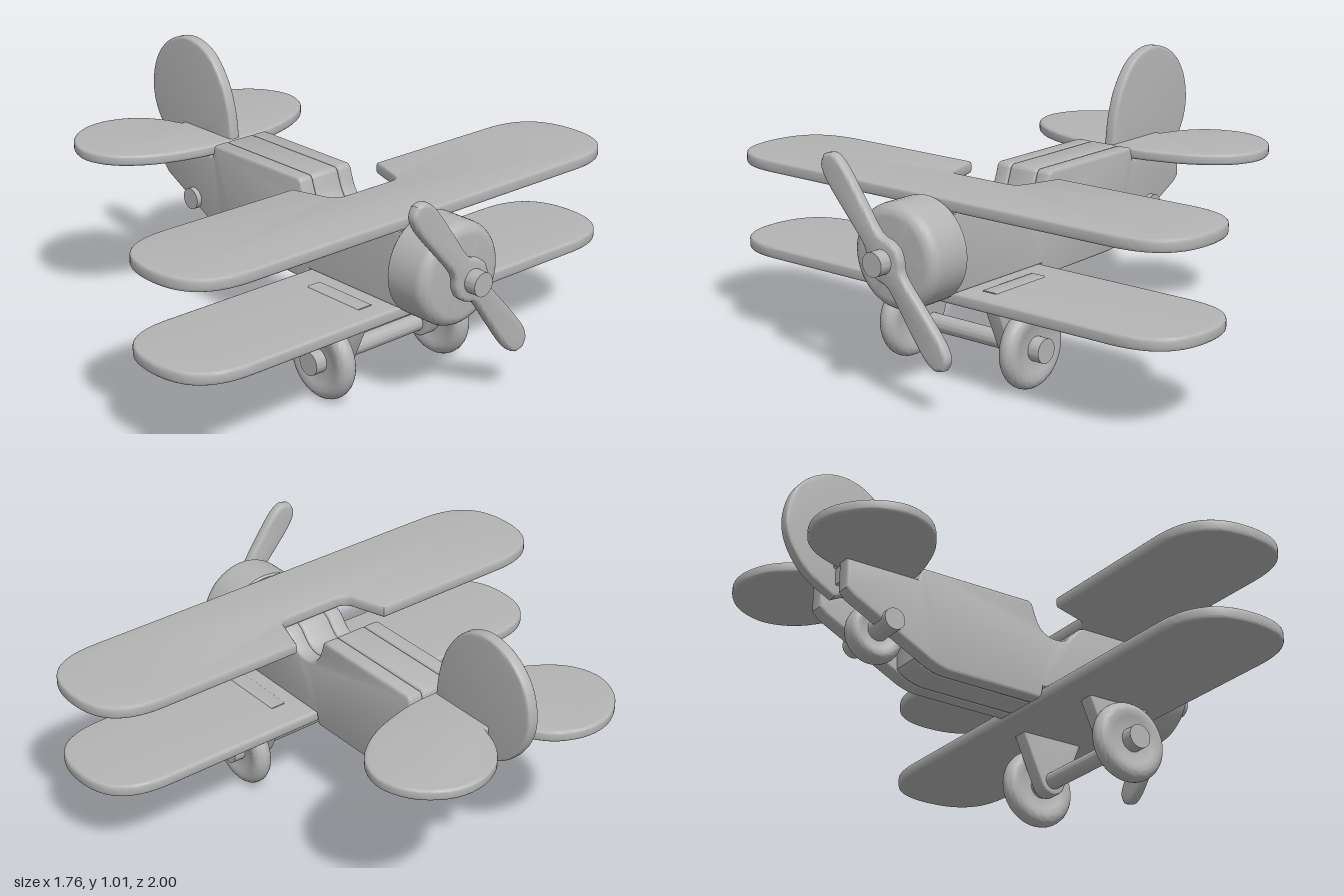
import * as THREE from 'three';
import { toCreasedNormals } from 'three/addons/utils/BufferGeometryUtils.js';

const wood = new THREE.MeshStandardMaterial({ color: 0xb4b4b4 });
wood.name = 'plain wood grey';

function add(parent, name, geometry) {
  const mesh = new THREE.Mesh(toCreasedNormals(geometry, 0.6), wood);
  mesh.name = name;
  parent.add(mesh);
  return mesh;
}

// Board of a given thickness, centred on its plane, with softened edges
function board(shape, thickness, bevel = 0.01) {
  const geometry = new THREE.ExtrudeGeometry(shape, {
    depth: thickness - 2 * bevel, bevelEnabled: true, bevelThickness: bevel,
    bevelSize: bevel, bevelOffset: -bevel, bevelSegments: 3, curveSegments: 20,
  });
  return geometry.translate(0, 0, bevel - thickness / 2);
}

// Horizontal board: the shape's y becomes z
const flatBoard = (shape, thickness, y) => board(shape, thickness).rotateX(Math.PI / 2).translate(0, y, 0);

function smoothPoints(points, count = 40) {
  return new THREE.SplineCurve(points.map(([x, y]) => new THREE.Vector2(x, y))).getPoints(count);
}

// Round rod along z
function rod(r, length, x, y, z) {
  return new THREE.CylinderGeometry(r, r, length, 32).rotateX(Math.PI / 2).translate(x, y, z);
}

function lathe(points) {
  return new THREE.LatheGeometry(points.map(([r, y]) => new THREE.Vector2(r, y)), 48);
}

// Side profile; the centre layer is cut away at the tail for the wheel
function fuselageShape(slotted) {
  const s = new THREE.Shape();
  if (slotted) {
    s.moveTo(-0.66, 0.635);
    s.lineTo(-0.66, 0.575);
    s.lineTo(-0.36, 0.575);
    s.lineTo(-0.36, 0.362);
  } else {
    s.moveTo(-0.67, 0.635);
    s.lineTo(-0.67, 0.525);
    s.lineTo(-0.645, 0.5);
  }
  s.lineTo(-0.34, 0.345);
  s.quadraticCurveTo(-0.29, 0.318, -0.24, 0.317);
  s.lineTo(0.125, 0.312);
  s.quadraticCurveTo(0.14, 0.315, 0.145, 0.358);
  s.lineTo(0.6, 0.358);
  s.lineTo(0.6, 0.637);
  s.lineTo(0.33, 0.637);
  s.bezierCurveTo(0.28, 0.625, 0.28, 0.56, 0.21, 0.56);
  s.bezierCurveTo(0.13, 0.56, 0.12, 0.62, 0.105, 0.66);
  s.quadraticCurveTo(0.1, 0.684, 0.08, 0.684);
  s.lineTo(-0.36, 0.684);
  s.quadraticCurveTo(-0.375, 0.684, -0.378, 0.66);
  s.lineTo(-0.385, 0.635);
  s.closePath();
  return s;
}

// Rounded-end wing, optionally notched behind the cockpit
function wingShape(notched) {
  const s = new THREE.Shape();
  s.moveTo(0.6, 0.76);
  s.bezierCurveTo(0.6, 0.93, 0.52, 1, 0.375, 1);
  s.bezierCurveTo(0.23, 1, 0.15, 0.93, 0.15, 0.76);
  if (notched) {
    s.lineTo(0.15, 0.2);
    s.lineTo(0.28, 0.158);
    s.quadraticCurveTo(0.315, 0.145, 0.315, 0.11);
    s.lineTo(0.315, -0.11);
    s.quadraticCurveTo(0.315, -0.145, 0.28, -0.158);
    s.lineTo(0.15, -0.2);
  }
  s.lineTo(0.15, -0.76);
  s.bezierCurveTo(0.15, -0.93, 0.23, -1, 0.375, -1);
  s.bezierCurveTo(0.52, -1, 0.6, -0.93, 0.6, -0.76);
  s.closePath();
  return s;
}

// Two-lobed tailplane
function tailplaneShape() {
  const half = smoothPoints([[-0.39, 0.06], [-0.40, 0.17], [-0.45, 0.33], [-0.54, 0.45], [-0.66, 0.495],
    [-0.78, 0.455], [-0.86, 0.36], [-0.88, 0.25], [-0.84, 0.14], [-0.76, 0.07], [-0.67, 0.035]]);
  const other = half.map((p) => new THREE.Vector2(p.x, -p.y)).reverse();
  return new THREE.Shape([...half, ...other]);
}

function propellerShape() {
  const side = smoothPoints([[0.078, 0], [0.068, 0.035], [0.046, 0.07], [0.041, 0.11], [0.046, 0.2], [0.051, 0.3],
    [0.049, 0.36], [0.034, 0.4], [0, 0.418]], 30);
  const left = side.slice(0, -1).map((p) => new THREE.Vector2(-p.x, p.y)).reverse();
  const upper = [...side, ...left];
  const lower = upper.slice(1, -1).map((p) => new THREE.Vector2(-p.x, -p.y));
  return new THREE.Shape([...upper, ...lower]);
}

// Wheel with a fat tyre and dished faces, lying along z
function wheelGeometry(radius, width) {
  const h = width / 2, r = radius;
  const rim = [[0.2 * r, -0.72 * h], [0.5 * r, -0.72 * h], [0.6 * r, -0.9 * h]];
  for (let i = 0; i <= 12; i++) {
    const a = -Math.PI / 2 + (Math.PI * i) / 12;
    rim.push([r * (0.76 + 0.24 * Math.cos(a)), h * Math.sin(a)]);
  }
  rim.push([0.6 * r, 0.9 * h], [0.5 * r, 0.72 * h], [0.2 * r, 0.72 * h]);
  return lathe(rim).rotateX(Math.PI / 2);
}

export function createModel() {
  const plane = new THREE.Group();
  plane.name = 'toyBiplane';

  // Body glued from three layers
  add(plane, 'fuselageCentre', board(fuselageShape(true), 0.12));
  for (const side of [1, -1]) {
    add(plane, side > 0 ? 'fuselageLeft' : 'fuselageRight',
      board(fuselageShape(false), 0.062).translate(0, 0, side * 0.091));
  }

  // Wings
  add(plane, 'upperWing', flatBoard(wingShape(true), 0.045, 0.66));
  add(plane, 'lowerWing', flatBoard(wingShape(false), 0.045, 0.338));

  // Tail
  add(plane, 'tailplane', flatBoard(tailplaneShape(), 0.04, 0.655));
  const fin = new THREE.Shape(smoothPoints([[-0.395, 0.66], [-0.41, 0.77], [-0.45, 0.88], [-0.53, 0.975], [-0.64, 1.01],
    [-0.75, 0.98], [-0.83, 0.9], [-0.86, 0.79], [-0.84, 0.69], [-0.77, 0.595], [-0.66, 0.53]], 50));
  add(plane, 'tailFin', board(fin, 0.044));
  add(plane, 'tailWheel', wheelGeometry(0.108, 0.08).translate(-0.49, 0.44, 0));
  add(plane, 'tailAxle', rod(0.04, 0.285, -0.49, 0.445, 0));

  // Engine and propeller
  const cowling = [[0, 0.605], [0.178, 0.605], [0.185, 0.612], [0.185, 0.735]];
  for (let i = 1; i <= 8; i++) {
    const a = (Math.PI / 2) * (i / 8);
    cowling.push([0.14 + 0.045 * Math.cos(a), 0.735 + 0.045 * Math.sin(a)]);
  }
  cowling.push([0, 0.78]);
  add(plane, 'engineCowling', lathe(cowling).rotateZ(-Math.PI / 2).translate(0, 0.5, 0));
  add(plane, 'engineNeck', new THREE.CylinderGeometry(0.1, 0.1, 0.03, 32).rotateZ(Math.PI / 2).translate(0.6, 0.5, 0));
  add(plane, 'propeller', board(propellerShape(), 0.042, 0.014)
    .rotateY(Math.PI / 2).rotateX(0.677).translate(0.808, 0.5, 0));
  add(plane, 'propellerShaft', new THREE.CylinderGeometry(0.043, 0.043, 0.125, 32)
    .rotateZ(Math.PI / 2).translate(0.813, 0.5, 0));

  // Landing gear
  const strut = new THREE.Shape();
  strut.moveTo(0.525, 0.364);
  strut.lineTo(0.265, 0.364);
  strut.lineTo(0.268, 0.315);
  strut.lineTo(0.345, 0.135);
  strut.quadraticCurveTo(0.36, 0.098, 0.395, 0.098);
  strut.quadraticCurveTo(0.43, 0.098, 0.445, 0.135);
  strut.lineTo(0.522, 0.315);
  strut.closePath();
  add(plane, 'frontAxle', rod(0.032, 0.66, 0.395, 0.15, 0));
  for (const side of [1, -1]) {
    const gear = new THREE.Group();
    gear.name = side > 0 ? 'leftGear' : 'rightGear';
    add(gear, 'strut', board(strut, 0.062, 0.006).translate(0, 0, side * 0.203));
    add(gear, 'wheel', wheelGeometry(0.147, 0.07).translate(0.395, 0.15, side * 0.275));
    add(gear, 'axlePeg', rod(0.044, 0.105, 0.395, 0.15, side * 0.293));
    plane.add(gear);
  }
  return plane;
}
